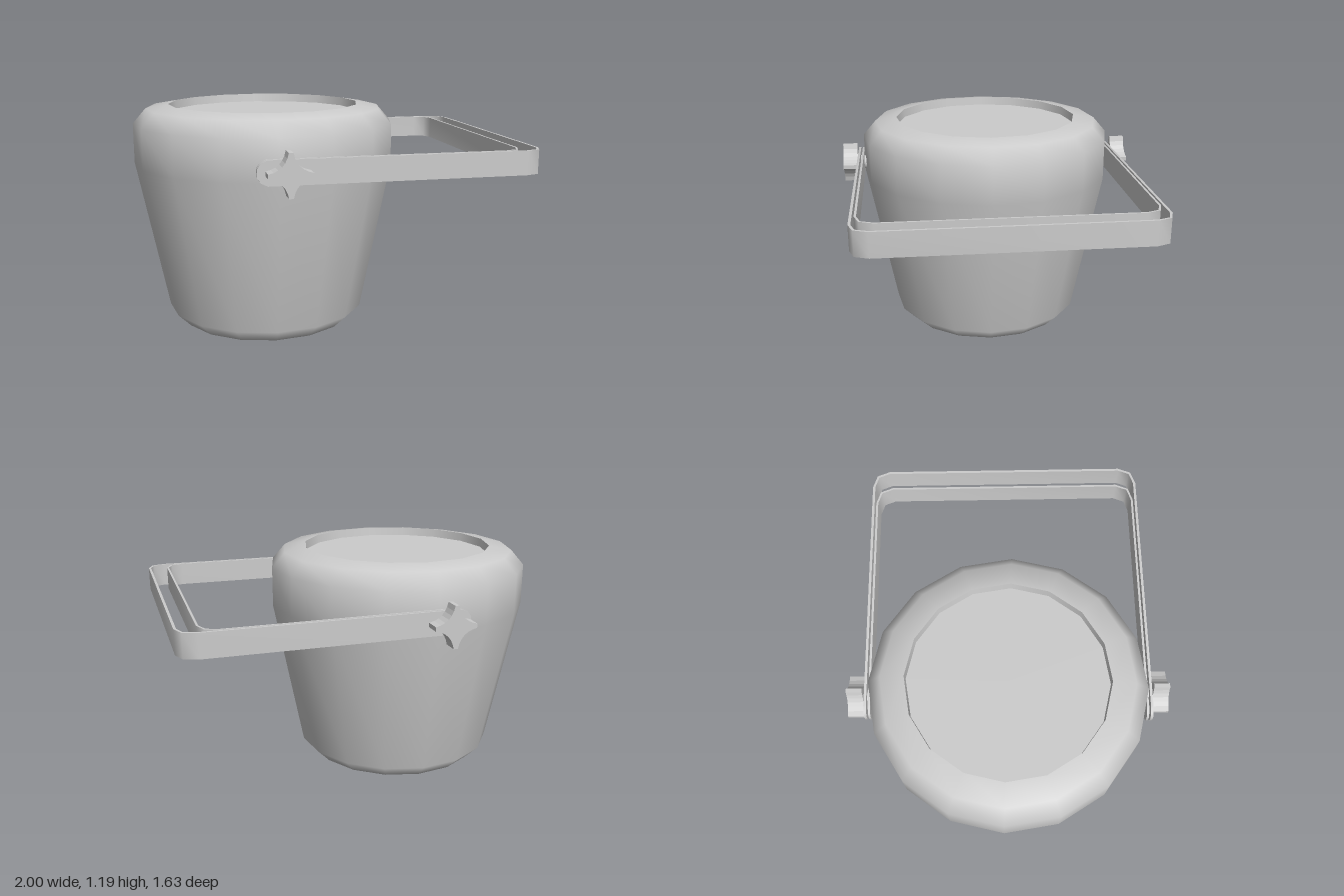
import * as THREE from 'three';
import { toCreasedNormals } from 'three/addons/utils/BufferGeometryUtils.js';

const grey = new THREE.MeshStandardMaterial({ color: 0xcccccc });
const CX = -0.305, PIVOT_Y = 0.937;

function add(group, name, geometry) {
  const mesh = new THREE.Mesh(geometry, grey);
  mesh.name = name;
  group.add(mesh);
  return mesh;
}

function lathe(points) {
  return new THREE.LatheGeometry(points.map(p => new THREE.Vector2(...p)), 16, -0.045);
}

// Thin upright strap swept along a path of [x, z, halfHeight], as a loop of four-corner sections
function strap(path, thickness) {
  const positions = [], index = [], n = path.length;
  path.forEach(([x, z, h], i) => {
    const a = path[Math.max(i - 1, 0)], b = path[Math.min(i + 1, n - 1)];
    const dx = b[0] - a[0], dz = b[1] - a[1], len = Math.hypot(dx, dz);
    const ox = -dz / len * thickness / 2, oz = dx / len * thickness / 2;
    positions.push(
      x + ox, PIVOT_Y - h, z + oz, x + ox, PIVOT_Y + h, z + oz,
      x - ox, PIVOT_Y + h, z - oz, x - ox, PIVOT_Y - h, z - oz);
  });
  for (let i = 0; i < n - 1; i++) {
    for (let k = 0; k < 4; k++) {
      const a = i * 4 + k, b = i * 4 + (k + 1) % 4;
      index.push(a, a + 4, b, b, a + 4, b + 4);
    }
  }
  const e = (n - 1) * 4;
  index.push(0, 1, 2, 0, 2, 3, e, e + 2, e + 1, e, e + 3, e + 2);
  const geometry = new THREE.BufferGeometry();
  geometry.setAttribute('position', new THREE.Float32BufferAttribute(positions, 3));
  geometry.setIndex(index);
  return toCreasedNormals(geometry, 0.9);
}

// U-shaped path with rounded arm ends and two chamfered corners
function bailPath(x, z) {
  const H = 0.062;
  const corner = [[x - 0.09, z, H], [x - 0.025, z - 0.022, H], [x, z - 0.085, H]];
  const end = tip => [[tip, z, 0.022], [tip + 0.015, z, 0.045], [tip + 0.05, z, H]];
  const mirror = p => [p[0], -p[1], p[2]];
  return [...end(-0.45), ...corner, ...corner.map(mirror).reverse(), ...end(-0.42).map(mirror).reverse()];
}

// Four-pointed star with concave sides
function starGeometry(radius, inner, depth) {
  const shape = new THREE.Shape();
  const at = (r, a) => [r * Math.cos(a), r * Math.sin(a)];
  const blunt = 0.1;
  shape.moveTo(...at(radius, -blunt));
  for (let i = 0; i < 4; i++) {
    const a = i * Math.PI / 2;
    shape.lineTo(...at(radius, a + blunt));
    shape.quadraticCurveTo(...at(inner, a + Math.PI / 4), ...at(radius, a + Math.PI / 2 - blunt));
  }
  return new THREE.ExtrudeGeometry(shape, { depth, bevelEnabled: false, curveSegments: 6 });
}

export function createModel() {
  const model = new THREE.Group();
  model.name = 'bucket';

  // Tapered body with rounded shoulder
  add(model, 'body', lathe([
    [0, 0], [0.47, 0], [0.54, 0.07], [0.7, 0.88], [0.7, 1.09], [0.63, 1.17], [0.51, 1.19],
  ])).position.x = CX;

  // Recessed top inside the rim
  add(model, 'rimWall', lathe([[0.51, 1.19], [0.505, 1.145]])).position.x = CX;
  add(model, 'recessedTop', lathe([[0.505, 1.145], [0, 1.145]])).position.x = CX;

  // Swing handle made of two nested straps
  const handle = new THREE.Group();
  handle.name = 'handle';
  model.add(handle);
  add(handle, 'outerStrap', strap(bailPath(0.993, 0.727), 0.013));
  add(handle, 'innerStrap', strap(bailPath(0.89, 0.706), 0.011));

  // Pivot pin and star knob on both sides
  const star = starGeometry(0.108, 0.036, 0.08);
  const pin = new THREE.CylinderGeometry(0.04, 0.04, 0.08, 10).rotateX(Math.PI / 2);
  for (const side of [1, -1]) {
    const pivot = new THREE.Group();
    pivot.name = side > 0 ? 'frontPivot' : 'backPivot';
    pivot.position.set(CX, PIVOT_Y, 0);
    pivot.rotation.y = side > 0 ? 0 : Math.PI;
    add(pivot, 'pin', pin).position.z = 0.705;
    add(pivot, 'starKnob', star).position.z = 0.737;
    model.add(pivot);
  }
  return model;
}
